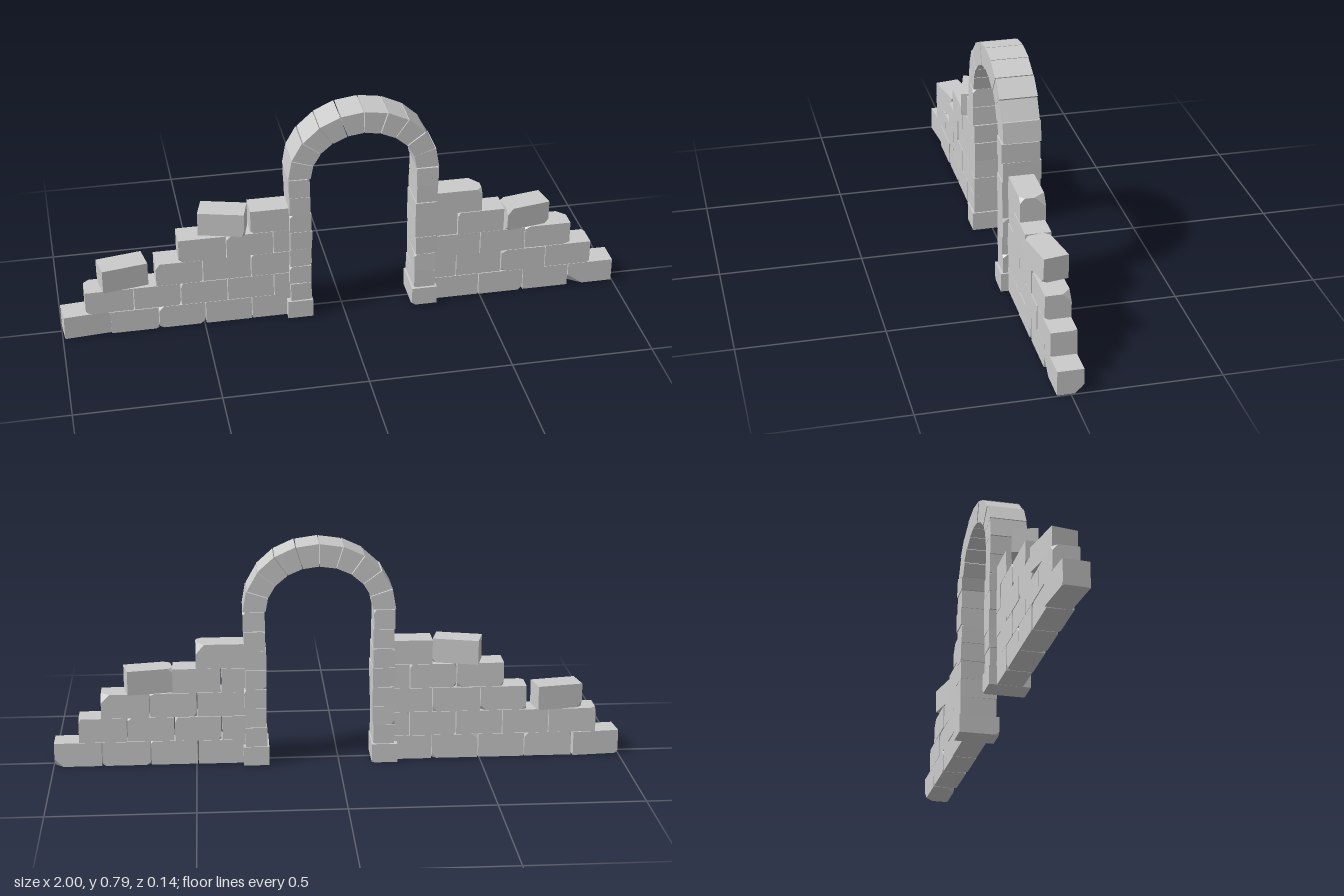
import * as THREE from 'three';
import { ConvexGeometry } from 'three/addons/geometries/ConvexGeometry.js';

const stone = new THREE.MeshStandardMaterial({ color: 0xcccccc, flatShading: true });

// Small seeded generator for the worn look
let seed = 11;
const rand = () => (seed = (seed * 16807) % 2147483647) / 2147483647;
const jitter = (a) => (rand() * 2 - 1) * a;

// Box-like stone whose corners are sometimes chipped off; chips are keyed by corner, e.g. '-1,-1,1'
function chippedStone(w, h, d, chance, size, forced = {}) {
  const pts = [];
  for (const sx of [-1, 1]) for (const sy of [-1, 1]) for (const sz of [-1, 1]) {
    const c = new THREE.Vector3(sx * w / 2, sy * h / 2, sz * d / 2);
    const chip = forced[`${sx},${sy},${sz}`]
      || (rand() < chance ? [0, 1, 2].map(() => size * (0.4 + rand())) : null);
    if (!chip) { pts.push(c); continue; }
    pts.push(c.clone().setX(c.x - sx * chip[0]));
    pts.push(c.clone().setY(c.y - sy * chip[1]));
    pts.push(c.clone().setZ(c.z - sz * chip[2]));
  }
  return new ConvexGeometry(pts);
}

function add(group, geometry, name, x, y, z, ry = 0, rz = 0) {
  const mesh = new THREE.Mesh(geometry, stone);
  mesh.name = name;
  mesh.position.set(x, y, z);
  mesh.rotation.set(0, ry, rz);
  group.add(mesh);
}

const ROW = 0.0875;

// Each row is a list of joints; turns maps brick index to its twist about y
function wall(name, rows) {
  const group = new THREE.Group();
  group.name = name;
  rows.forEach(({ joints, turns = {}, chips = {} }, r) => {
    for (let i = 0; i < joints.length - 1; i++) {
      const [a, b] = [joints[i], joints[i + 1]];
      const turn = turns[i] || 0;
      const geo = chippedStone((b - a) - 0.003, ROW - 0.001, 0.088, 0.25, 0.015, chips[i]);
      add(group, geo, 'brick', (a + b) / 2, (r + 0.5) * ROW, 0.002 + jitter(0.002), turn);
    }
  });
  return group;
}

// Pillar of stacked blocks on a wider base
function pillar(name, x, baseX) {
  const group = new THREE.Group();
  group.name = name;
  add(group, chippedStone(0.09, 0.068, 0.144, 0.15, 0.012), 'base', baseX, 0.034, 0, jitter(0.03));
  const h = (0.557 - 0.068) / 7;
  for (let i = 0; i < 7; i++) {
    const geo = chippedStone(0.075 + jitter(0.003), h - 0.001, 0.132, 0.25, 0.012);
    add(group, geo, 'block', x + jitter(0.003), 0.068 + (i + 0.5) * h, jitter(0.003), jitter(0.03), jitter(0.015));
  }
  return group;
}

// Ring of wedge stones following a slightly flattened half circle
function archRing() {
  const group = new THREE.Group();
  group.name = 'archRing';
  const n = 10;
  for (let i = 0; i < n; i++) {
    const pts = [];
    const dz = jitter(0.002), grow = jitter(0.002);
    for (const t of [i + 0.02, i + 0.98]) {
      const a = (t / n) * Math.PI;
      for (const [rx, ry] of [[0.186, 0.158], [0.264 + grow, 0.238 + grow]]) {
        for (const z of [-0.065, 0.065]) {
          pts.push(new THREE.Vector3(0.067 + rx * Math.cos(a), 0.557 + ry * Math.sin(a), z + dz));
        }
      }
    }
    add(group, new ConvexGeometry(pts), 'wedgeStone', 0, 0, 0);
  }
  return group;
}

export function createModel() {
  seed = 11;
  const model = new THREE.Group();
  model.name = 'ruinedArch';

  // Stepped wall on the -x side
  model.add(wall('rightWall', [
    { joints: [-0.997, -0.83, -0.66, -0.495, -0.33, -0.16], turns: { 0: 0.08 } },
    { joints: [-0.915, -0.745, -0.58, -0.415, -0.25, -0.16] },
    { joints: [-0.862, -0.685, -0.665, -0.5, -0.33, -0.16].slice(2) },
    { joints: [-0.583, -0.415, -0.25, -0.16] },
    { joints: [-0.33, -0.16] },
  ]));
  // Stepped wall on the +x side
  model.add(wall('leftWall', [
    {
      joints: [0.29, 0.495, 0.66, 0.83, 0.998],
      chips: { 3: { '-1,-1,1': [0.055, 0.04, 0.04], '1,-1,-1': [0.03, 0.03, 0.03] } },
    },
    { joints: [0.29, 0.41, 0.575, 0.74, 0.91] },
    { joints: [0.29, 0.495, 0.66, 0.83], chips: { 2: { '1,1,-1': [0.03, 0.03, 0.03] } } },
    { joints: [0.29, 0.41, 0.58] },
    { joints: [0.29, 0.498], chips: { 0: { '1,1,-1': [0.03, 0.035, 0.04] } } },
  ]));

  // Loose bricks lying askew on top of the steps
  const loose = new THREE.Group();
  loose.name = 'looseBricks';
  for (const [x, row, ry] of [[-0.777, 2, 0.17], [-0.42, 4, -0.26], [0.662, 3, 0.18]]) {
    add(loose, chippedStone(0.162, ROW - 0.001, 0.088, 0.35, 0.018), 'looseBrick', x, (row + 0.5) * ROW, 0, ry);
  }
  model.add(loose);

  // Archway
  model.add(pillar('rightPillar', -0.158, -0.16));
  model.add(pillar('leftPillar', 0.292, 0.29));
  model.add(archRing());
  return model;
}
